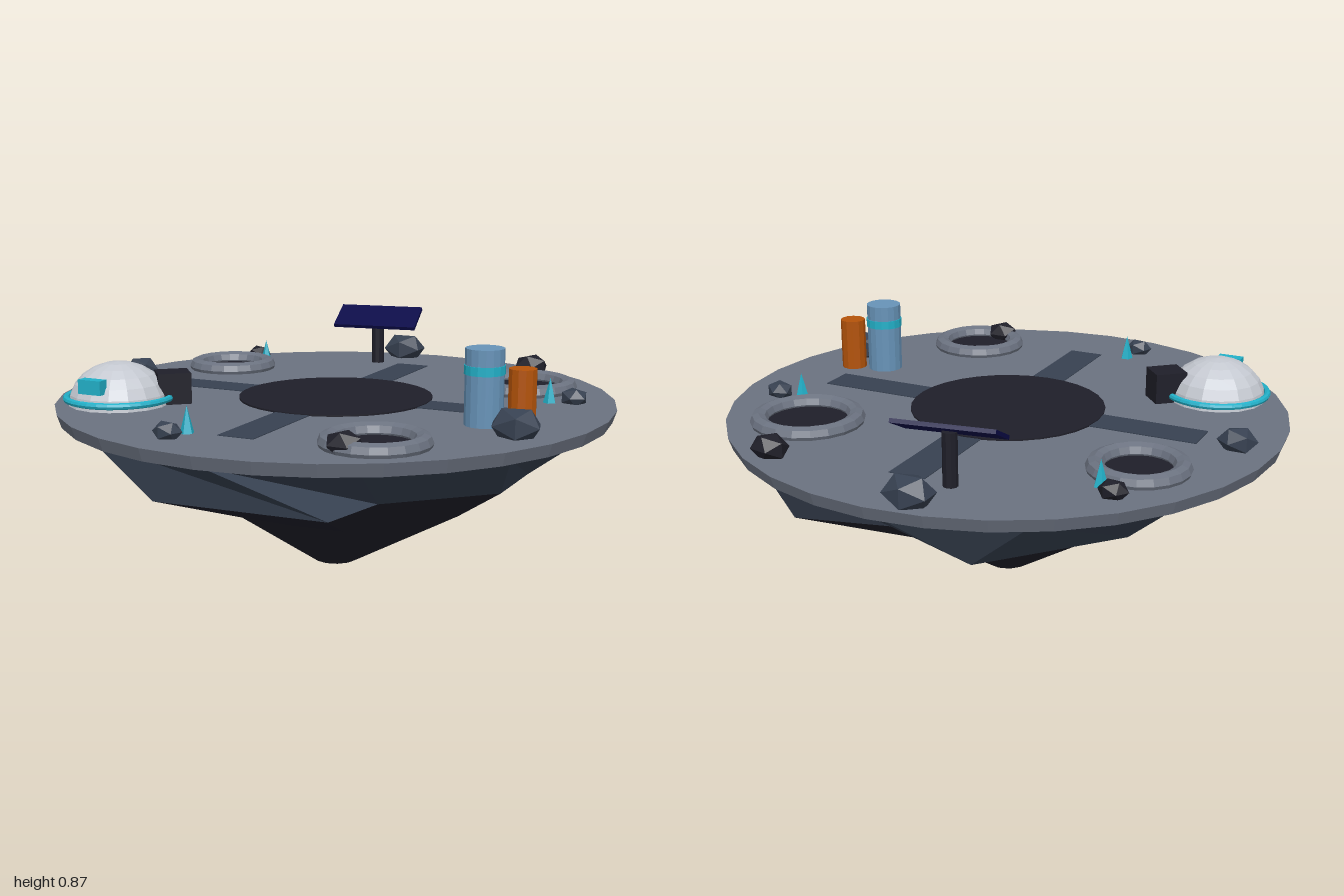
import * as THREE from 'three';

const GROUND = 0.61; // height of the upper surface

export function createModel() {
  const model = new THREE.Group();
  model.name = 'asteroidOutpost';

  const mat = (name, color, extra = {}) => {
    const m = new THREE.MeshStandardMaterial({ color, flatShading: true, ...extra });
    m.name = name;
    return m;
  };
  const stone = mat('stone grey', 0x6b7280);
  const slate = mat('slate', 0x374151);
  const dark = mat('dark rock', 0x1f1f29);
  const cyan = mat('cyan', 0x22b0c8);
  const white = mat('pale shell', 0xc4c8d0);
  const steel = mat('blue steel', 0x6793b8);
  const orange = mat('orange', 0xb45309);
  const navy = mat('solar navy', 0x0a0a48);

  const add = (name, geo, material, x = 0, y = 0, z = 0, parent = model) => {
    const m = new THREE.Mesh(geo, material);
    m.name = name;
    m.position.set(x, y, z);
    parent.add(m);
    return m;
  };
  const disc = (r, n) => new THREE.CircleGeometry(r, n).rotateX(-Math.PI / 2);

  // Surface slab
  add('slab', new THREE.CylinderGeometry(1, 0.985, 0.045, 32), stone, 0, GROUND - 0.0225, 0);

  // Jagged underside: each ring is a list of [degrees, radius] at one height
  const even = (radii) => radii.map((r, i) => [i * 30, r]);
  const ring = (y, polar) => polar.map(([deg, r]) => {
    const a = THREE.MathUtils.degToRad(deg);
    return [Math.cos(a) * r, y, Math.sin(a) * r];
  });
  const rings = [
    ring(0.566, even(Array(12).fill(0.95))),
    ring(0.38, [[-7, 0.71], [16, 0.73], [52, 0.63], [66, 0.82], [110, 0.83], [150, 0.66],
      [180, 0.66], [212, 0.73], [252, 0.83], [280, 0.66], [301, 0.85], [338, 0.65]]),
    ring(0.22, even([0.48, 0.45, 0.4, 0.36, 0.4, 0.44, 0.43, 0.42, 0.42, 0.38, 0.42, 0.46])),
    ring(0, even(Array(12).fill(0.08))),
  ];
  const band = (top, bottom) => {
    const p = [];
    for (let i = 0; i < 12; i++) {
      const j = (i + 1) % 12;
      p.push(...top[i], ...top[j], ...bottom[i], ...top[j], ...bottom[j], ...bottom[i]);
    }
    const g = new THREE.BufferGeometry();
    g.setAttribute('position', new THREE.Float32BufferAttribute(p, 3));
    g.computeVertexNormals();
    return g;
  };
  add('upperUnderside', band(rings[0], rings[1]), slate);
  add('middleUnderside', band(rings[1], rings[2]), dark);
  add('lowerUnderside', band(rings[2], rings[3]), dark);
  add('undersideTip', new THREE.CircleGeometry(0.08, 12).rotateX(Math.PI / 2), dark);

  // Crossing paths and the central pad
  add('pathAcross', new THREE.BoxGeometry(1.46, 0.004, 0.13), slate, 0, GROUND + 0.001, 0);
  add('pathAlong', new THREE.BoxGeometry(0.13, 0.004, 1.46), slate, 0, GROUND + 0.0005, 0);
  add('centralPad', new THREE.CylinderGeometry(0.35, 0.35, 0.006, 32), dark, 0, GROUND + 0.003, 0);

  // Craters: rim and dark floor
  for (const [x, z, r] of [[0.56, -0.445, 0.17], [-0.64, -0.365, 0.142], [0.44, 0.635, 0.15]]) {
    const crater = new THREE.Group();
    crater.name = 'crater';
    crater.position.set(x, GROUND, z);
    model.add(crater);
    add('craterRim', new THREE.TorusGeometry(r, 0.031, 8, 20).rotateX(Math.PI / 2), stone, 0, 0.012, 0, crater);
    add('craterFloor', disc(r, 20), dark, 0, 0.006, 0, crater);
  }

  // Domed habitat with ring, window and entrance
  const habitat = new THREE.Group();
  habitat.name = 'habitat';
  habitat.position.set(-0.64, GROUND, 0.435);
  model.add(habitat);
  const shell = new THREE.SphereGeometry(0.178, 16, 6, 0, Math.PI * 2, 0, Math.PI / 2).scale(1, 0.84, 1);
  add('dome', shell, white, 0, 0, 0, habitat);
  add('domeRing', new THREE.TorusGeometry(0.185, 0.012, 8, 32).rotateX(Math.PI / 2), cyan, 0, 0.024, 0, habitat);
  add('window', new THREE.BoxGeometry(0.09, 0.05, 0.04), cyan, 0, 0.085, 0.157, habitat);
  add('entrance', new THREE.BoxGeometry(0.106, 0.11, 0.117), dark, 0.16, 0.055, -0.1, habitat)
    .rotation.y = -0.855;

  // Storage tanks
  add('tallTank', new THREE.CylinderGeometry(0.065, 0.065, 0.255, 16), steel, 0.64, GROUND + 0.1275, 0.215);
  add('tankBand', new THREE.CylinderGeometry(0.068, 0.068, 0.03, 16), cyan, 0.64, 0.795, 0.215);
  add('shortTank', new THREE.CylinderGeometry(0.047, 0.047, 0.19, 12), orange, 0.757, GROUND + 0.095, 0.175);

  // Solar panel on a mast
  add('mast', new THREE.CylinderGeometry(0.025, 0.025, 0.18, 10), dark, -0.162, GROUND + 0.09, -0.74);
  const panel = add('solarPanel', new THREE.BoxGeometry(0.34, 0.014, 0.148), navy, -0.162, 0.797, -0.74);
  panel.rotation.set(0.46, 0.15, 0, 'YXZ');

  // Scattered rocks: x, z, size, material
  const rocks = [
    [-0.115, -0.915, 0.09, slate], [0.49, -0.77, 0.07, dark], [-0.645, -0.6, 0.052, dark],
    [-0.865, -0.045, 0.07, slate], [0.81, -0.255, 0.052, slate], [0.79, 0.335, 0.09, slate],
    [0.395, 0.765, 0.066, dark], [-0.19, 0.825, 0.052, slate],
  ];
  rocks.forEach(([x, z, r, material], i) => {
    const g = new THREE.IcosahedronGeometry(r, 0).rotateY(i * 1.3).scale(1, 0.7, 0.8);
    add('rock', g, material, x, GROUND + r * 0.4, z);
  });

  // Crystals
  for (const [x, z] of [[-0.58, -0.54], [0.73, -0.23], [-0.17, 0.74]]) {
    add('crystal', new THREE.ConeGeometry(0.024, 0.09, 5), cyan, x, GROUND + 0.045, z);
  }

  return model;
}
